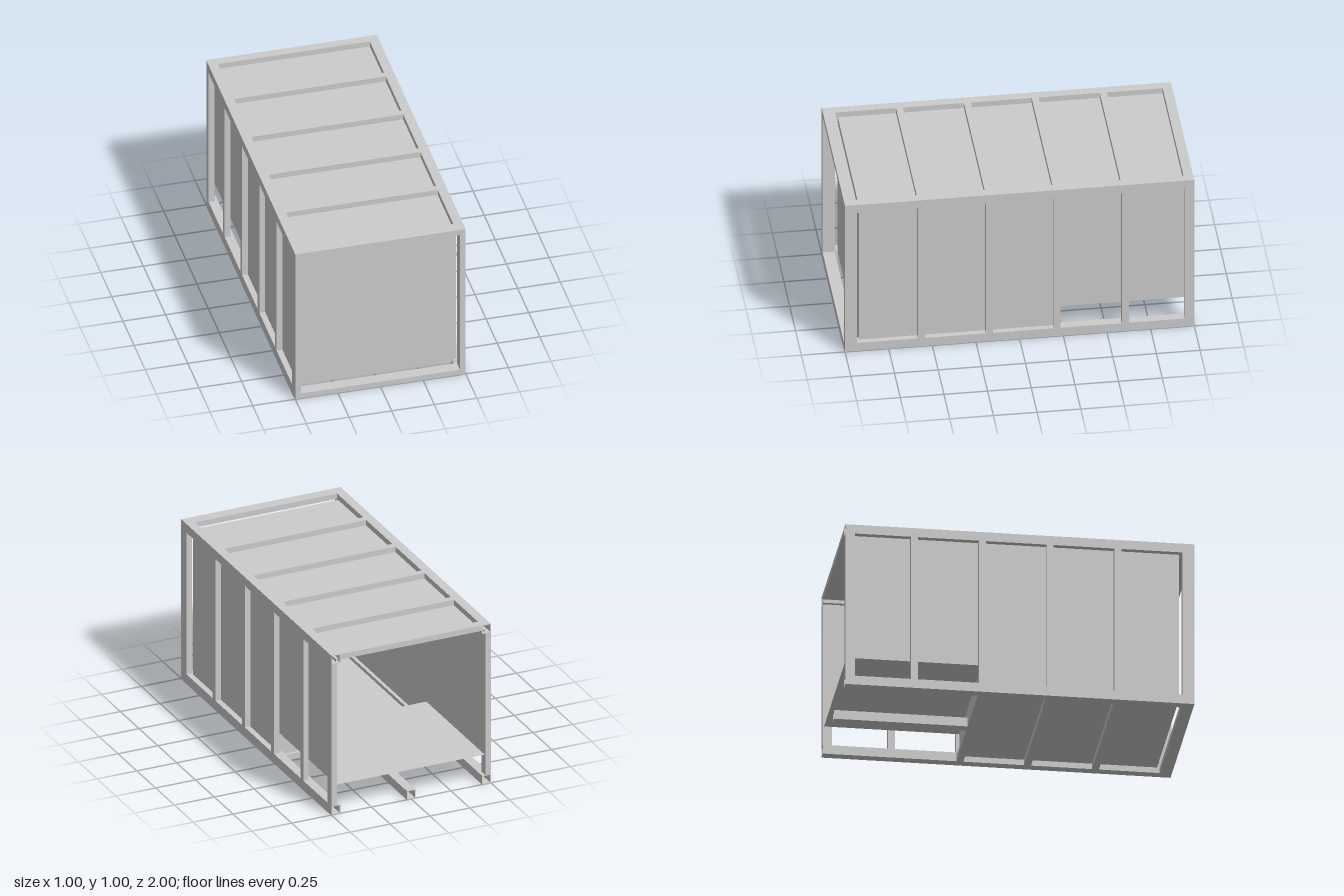
import * as THREE from 'three';

const HALF = 0.5;      // half width of the frame
const BEAM = 0.055;    // side of the square long beams
const THIN = 0.034;    // depth of ribs and posts
const INNER = HALF - BEAM;

export function createModel() {
  const model = new THREE.Group();
  const material = new THREE.MeshStandardMaterial({ color: 0xcccccc, flatShading: true });
  const sheet = new THREE.MeshStandardMaterial({ color: 0xcccccc, flatShading: true, side: THREE.DoubleSide });

  const add = (name, geometry, mat = material) => {
    const mesh = new THREE.Mesh(geometry, mat);
    mesh.name = name;
    model.add(mesh);
    return mesh;
  };
  // Box given by its lower and upper limits
  const block = (name, x0, x1, y0, y1, z0, z1) =>
    add(name, new THREE.BoxGeometry(x1 - x0, y1 - y0, z1 - z0))
      .position.set((x0 + x1) / 2, (y0 + y1) / 2, (z0 + z1) / 2);
  const square = (path, h) =>
    path.moveTo(-h, -h).lineTo(h, -h).lineTo(h, h).lineTo(-h, h).closePath();
  // Hollow square tube along z
  const tube = (name, x, y, z0, z1) => {
    const shape = square(new THREE.Shape(), BEAM / 2);
    shape.holes.push(square(new THREE.Path(), BEAM / 2 - 0.004));
    add(name, new THREE.ExtrudeGeometry(shape, { depth: z1 - z0, bevelEnabled: false }))
      .position.set(x, y, z0);
  };

  // Long corner beams, open at the back
  for (const x of [-HALF + BEAM / 2, HALF - BEAM / 2])
    for (const y of [BEAM / 2, 1 - BEAM / 2]) tube('longBeam', x, y, -1, 0.93);
  tube('centreBeam', 0, BEAM / 2, -1, -0.235);

  // Front frame
  block('frontTopBeam', -HALF, HALF, 1 - THIN, 1, 0.93, 1);
  block('frontBottomBeam', -HALF, HALF, 0, THIN, 0.93, 1);

  // Back top beam; the back is open at the bottom
  block('backTopBeam', -INNER, INNER, 1 - THIN, 1, -1, -0.945);

  // Posts and upright ribs on both sides
  const ribs = [0.562, 0.173, -0.215, -0.605];
  for (const s of [-1, 1]) {
    const x0 = s > 0 ? HALF - THIN : -HALF;
    block('frontPost', x0, x0 + THIN, THIN, 1 - THIN, 0.93, 1);
    block('backPost', x0, x0 + THIN, BEAM, 1 - BEAM, -1, -0.945);
    for (const z of ribs) block('sideRib', x0, x0 + THIN, BEAM, 1 - BEAM, z - 0.02, z + 0.02);
  }

  // Cross ribs on the roof, and under the low floor
  for (const z of ribs) {
    block('roofRib', -INNER, INNER, 1 - THIN, 1, z - 0.02, z + 0.02);
    if (z > -0.3) block('floorRib', -INNER, INNER, 0, THIN, z - 0.02, z + 0.02);
  }

  // Inner shell: stepped side profile as (z, y), open at the back
  const w = HALF - THIN;
  const profile = [
    [-0.99, 0.18], [-0.215, 0.18], [-0.215, THIN],
    [0.915, THIN], [0.915, 1 - THIN], [-0.99, 1 - THIN],
  ];
  const wall = new THREE.ShapeGeometry(new THREE.Shape(profile.map(p => new THREE.Vector2(...p))));
  wall.rotateY(-Math.PI / 2);
  for (const x of [-w, w]) add('sidePanel', wall, sheet).position.x = x;
  ['raisedFloor', 'floorStep', 'lowFloor', 'frontPanel', 'roofPanel'].forEach((name, i) => {
    const [z0, y0] = profile[i], [z1, y1] = profile[i + 1];
    const panel = add(name, new THREE.PlaneGeometry(2 * w, Math.hypot(z1 - z0, y1 - y0)), sheet);
    panel.rotation.x = Math.atan2(z1 - z0, y1 - y0);
    panel.position.set(0, (y0 + y1) / 2, (z0 + z1) / 2);
  });

  return model;
}
